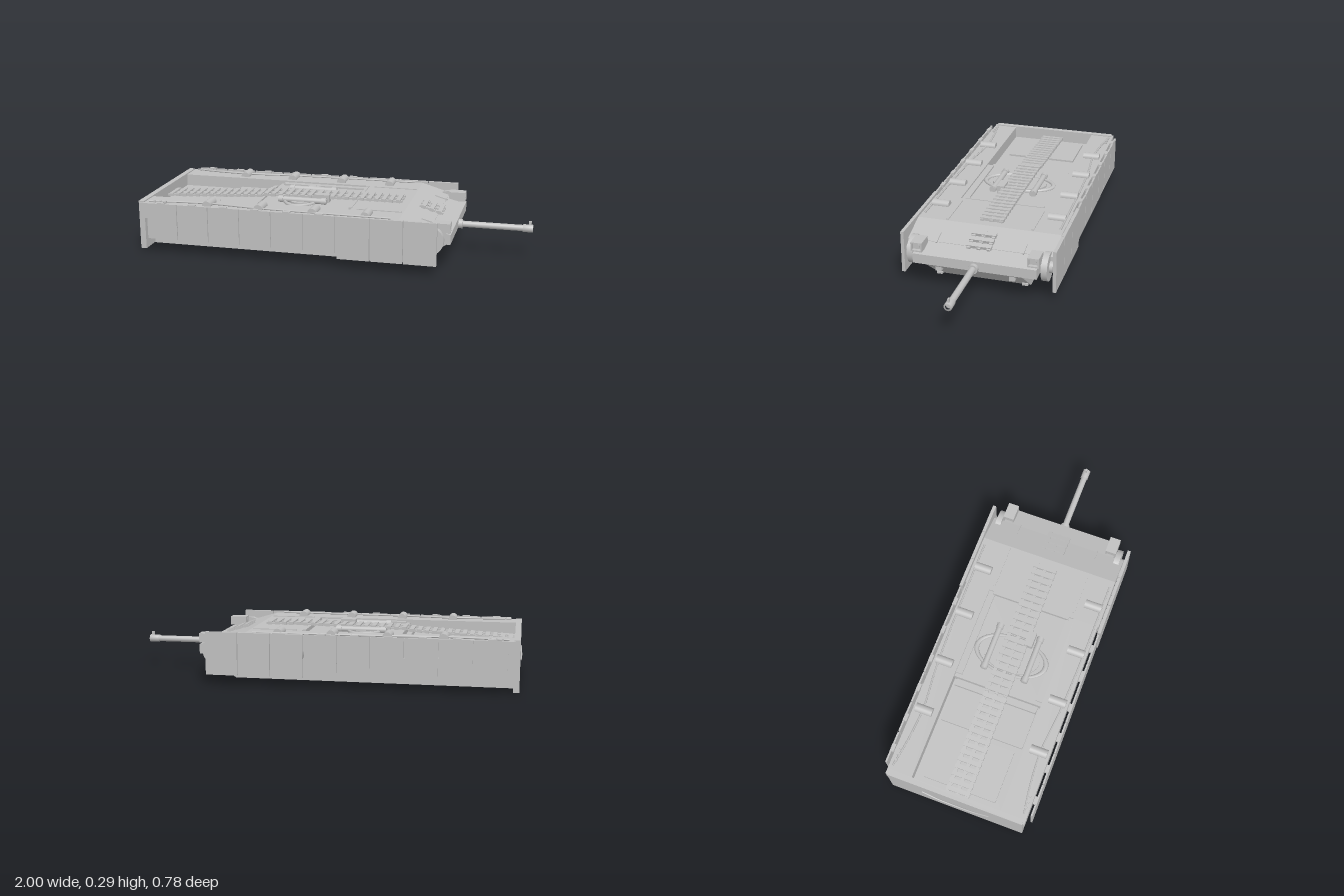
import * as THREE from 'three';

export function createModel() {
  const root = new THREE.Group();
  root.name = 'armouredHull';
  const grey = new THREE.MeshStandardMaterial({ color: 0xc0c0c0 });
  grey.name = 'primer grey';

  function add(name, geo, parent = root) {
    const m = new THREE.Mesh(geo, grey);
    m.name = name;
    parent.add(m);
    return m;
  }
  // Box given by its limits on each axis
  function box(name, x0, x1, y0, y1, z0, z1, parent = root) {
    const m = add(name, new THREE.BoxGeometry(x1 - x0, y1 - y0, z1 - z0), parent);
    m.position.set((x0 + x1) / 2, (y0 + y1) / 2, (z0 + z1) / 2);
    return m;
  }
  // Cylinder along the x, y or z axis
  function cyl(name, axis, r, len, x, y, z, parent = root, seg = 24) {
    const m = add(name, new THREE.CylinderGeometry(r, r, len, seg), parent);
    if (axis === 'x') m.rotation.z = -Math.PI / 2;
    if (axis === 'z') m.rotation.x = Math.PI / 2;
    m.position.set(x, y, z);
    return m;
  }
  // Side profile (x, y) extruded across the width
  function prism(name, pts, halfWidth) {
    const s = new THREE.Shape(pts.map(p => new THREE.Vector2(p[0], p[1])));
    const g = new THREE.ExtrudeGeometry(s, { depth: halfWidth * 2, bevelEnabled: false });
    g.translate(0, 0, -halfWidth);
    return add(name, g);
  }

  // Lower hull with sloped underside at the nose
  prism('lowerHull', [[-0.97, 0.008], [0.45, 0.008], [0.62, 0.14], [0.62, 0.18], [-0.97, 0.18]], 0.24);
  prism('nosePlate', [[0.42, 0.14], [0.62, 0.14], [0.62, 0.19], [0.52, 0.215], [0.42, 0.215]], 0.31);
  prism('frontDeck', [[0.1, 0.18], [0.52, 0.18], [0.52, 0.217], [0.37, 0.262], [0.1, 0.262]], 0.37);
  box('bellyHatch', -0.04, 0.05, 0, 0.01, 0, 0.09);

  // Rear plate with a curved grab rail
  box('rearPlate', -0.995, -0.965, 0.012, 0.268, -0.355, 0.355);
  const rail = new THREE.CatmullRomCurve3([[-0.995, 0.15, -0.18], [-0.999, 0.125, -0.09], [-0.999, 0.118, 0],
    [-0.999, 0.125, 0.09], [-0.995, 0.15, 0.18]].map(p => new THREE.Vector3(...p)));
  add('rearRail', new THREE.TubeGeometry(rail, 20, 0.004, 6));

  // Recessed decks
  box('rearBayFloor', -0.97, -0.4, 0.17, 0.2, -0.24, 0.24);
  box('midDeck', -0.4, 0.1, 0.17, 0.245, -0.24, 0.24);
  box('bayStep', -0.63, -0.4, 0.2, 0.215, -0.22, 0.22);
  box('bayCrossRib', -0.44, -0.42, 0.215, 0.235, -0.22, 0.22);
  for (const z of [-0.12, 0.12]) box('engineCover', -0.93, -0.66, 0.2, 0.212, z - 0.07, z + 0.07);

  // Roof ring with segments
  const ring = add('roofRing', new THREE.TorusGeometry(0.17, 0.012, 8, 40));
  ring.rotation.x = Math.PI / 2;
  ring.scale.set(0.6, 1.1, 0.8);
  ring.position.set(-0.2, 0.248, 0);
  const plate = cyl('roofHatch', 'y', 0.15, 0.01, -0.2, 0.249, 0, root, 32);
  plate.scale.x = 0.6;
  for (const z of [-0.11, 0.11]) {
    cyl('stowedTube', 'x', 0.015, 0.26, -0.185, 0.258, z, root, 16);
    for (const x of [-0.3, -0.07]) cyl('tubeCollar', 'x', 0.019, 0.025, x, 0.258, z, root, 16);
  }
  box('sideHatch', -0.13, -0.05, 0.245, 0.285, 0.045, 0.085);

  // Spare track links laid along the centre line
  function trackRun(name, x0, y0, x1, y1) {
    const g = new THREE.Group();
    g.name = name;
    const len = Math.hypot(x1 - x0, y1 - y0);
    const n = Math.round(len / 0.04);
    for (let i = 0; i < n; i++) {
      const x = (i + 0.5) * len / n;
      box('trackPad', x - 0.011, x + 0.011, 0, 0.016, -0.062, 0.062, g);
      for (const z of [-0.05, 0, 0.05]) box('trackLink', x - 0.02, x + 0.02, 0.002, 0.011, z - 0.009, z + 0.009, g);
    }
    g.position.set(x0, y0, 0);
    g.rotation.z = Math.atan2(y1 - y0, x1 - x0);
    root.add(g);
  }
  trackRun('rearTrackRun', -0.96, 0.215, -0.42, 0.245);
  trackRun('midTrackRun', -0.42, 0.252, 0.1, 0.262);
  trackRun('deckTrackRun', 0.1, 0.262, 0.33, 0.262);
  trackRun('frontTrackRun', 0.42, 0.249, 0.545, 0.212);

  // Thin panel lines on the deck
  for (const z of [-0.22, 0.22]) {
    box('deckStrip', 0.13, 0.36, 0.262, 0.266, z - 0.006, z + 0.006);
    const strip = box('noseRib', 0.46, 0.53, 0.222, 0.23, z - 0.003, z + 0.003);
    strip.rotation.z = -0.28;
  }
  box('deckRib', 0.085, 0.1, 0.245, 0.265, -0.21, 0.21);

  // Parts mirrored on both sides
  for (const s of [-1, 1]) {
    const side = new THREE.Group();
    side.name = s > 0 ? 'frontSide' : 'backSide';
    root.add(side);
    const b = (name, x0, x1, y0, y1, z0, z1) =>
      box(name, x0, x1, y0, y1, Math.min(s * z0, s * z1), Math.max(s * z0, s * z1), side);

    b('sponson', -0.97, 0.1, 0.18, 0.262, 0.235, 0.365);
    b('sponsonLedge', -0.38, 0.1, 0.245, 0.254, 0.2, 0.24);
    b('rearCorner', -0.99, -0.94, 0.19, 0.262, 0.34, 0.365);

    // Hinged skirt plates: seven short, then three long
    for (let i = 0; i < 6; i++) {
      const x = -0.94 + i * 0.1667;
      b('shortSkirt', x + 0.003, x + 0.1637, 0.08, 0.268, 0.379, 0.388);
      b('skirtHinge', x + 0.06, x + 0.1, 0.255, 0.273, 0.368, 0.388);
    }
    for (let i = 0; i < 3; i++) {
      const x = 0.065 + i * 0.167;
      b('longSkirt', x + 0.002, x + 0.165, 0.05, 0.269, 0.375, 0.392);
    }
    for (const x of [-0.85, -0.5, -0.15, 0.15, 0.45]) b('skirtBracket', x - 0.015, x + 0.015, 0.19, 0.21, 0.36, 0.38);

    // Stowage rollers on the sponson
    for (const x of [-0.625, -0.35, -0.07, 0.2]) cyl('stowageRoller', 'z', 0.023, 0.09, x, 0.265, s * 0.307, side, 20);

    // Tow cable
    const pts = [[-0.94, 0.345], [-0.8, 0.325], [-0.62, 0.315], [-0.4, 0.335], [-0.1, 0.347], [0.33, 0.352]];
    const cable = new THREE.CatmullRomCurve3(pts.map(p => new THREE.Vector3(p[0], 0.267, s * p[1])));
    add('towCable', new THREE.TubeGeometry(cable, 40, 0.005, 6), side);
    for (const x of [-0.91, -0.88, -0.85]) b('cableClamp', x - 0.004, x + 0.004, 0.262, 0.273, 0.335, 0.35);

    // Running gear
    for (let i = 0; i < 7; i++) {
      const x = -0.8 + i * 0.19;
      cyl('roadWheel', 'z', 0.065, 0.035, x, 0.15, s * 0.275, side, 28);
      cyl('outerRoadWheel', 'z', 0.065, 0.025, x, 0.15, s * 0.325, side, 28);
      cyl('wheelHub', 'z', 0.02, 0.12, x, 0.15, s * 0.3, side, 16);
    }
    cyl('driveWheel', 'z', 0.072, 0.03, 0.52, 0.165, s * 0.337, side, 28);
    cyl('driveHub', 'z', 0.03, 0.1, 0.52, 0.165, s * 0.32, side, 16);

    // Headlamp box with open frame
    b('lampBox', 0.535, 0.6, 0.205, 0.245, 0.27, 0.315);
    b('lampTop', 0.53, 0.618, 0.242, 0.248, 0.263, 0.32);
    b('lampBase', 0.53, 0.618, 0.2, 0.207, 0.263, 0.32);
    for (const z of [0.263, 0.314]) b('lampCheek', 0.53, 0.618, 0.205, 0.244, z, z + 0.006);
    cyl('lamp', 'x', 0.014, 0.012, 0.604, 0.225, s * 0.292, side, 20);

    // Tow fittings on the nose
    b('towBracket', 0.55, 0.605, 0.105, 0.13, 0.17, 0.2);
    b('lowerLug', 0.46, 0.495, 0.025, 0.037, 0.205, 0.235);
  }

  // Gun barrel with muzzle ring and foresight
  cyl('gunMount', 'x', 0.024, 0.03, 0.625, 0.157, 0);
  cyl('gunBarrel', 'x', 0.016, 0.36, 0.8, 0.157, 0);
  const muzzle = add('muzzle', new THREE.LatheGeometry([[0.012, -0.03], [0.02, -0.03], [0.02, 0.02], [0.012, 0.02]]
    .map(p => new THREE.Vector2(...p)), 24));
  muzzle.rotation.z = -Math.PI / 2;
  muzzle.position.set(0.978, 0.157, 0);
  box('foresight', 0.976, 0.99, 0.17, 0.195, -0.004, 0.004);

  return root;
}
